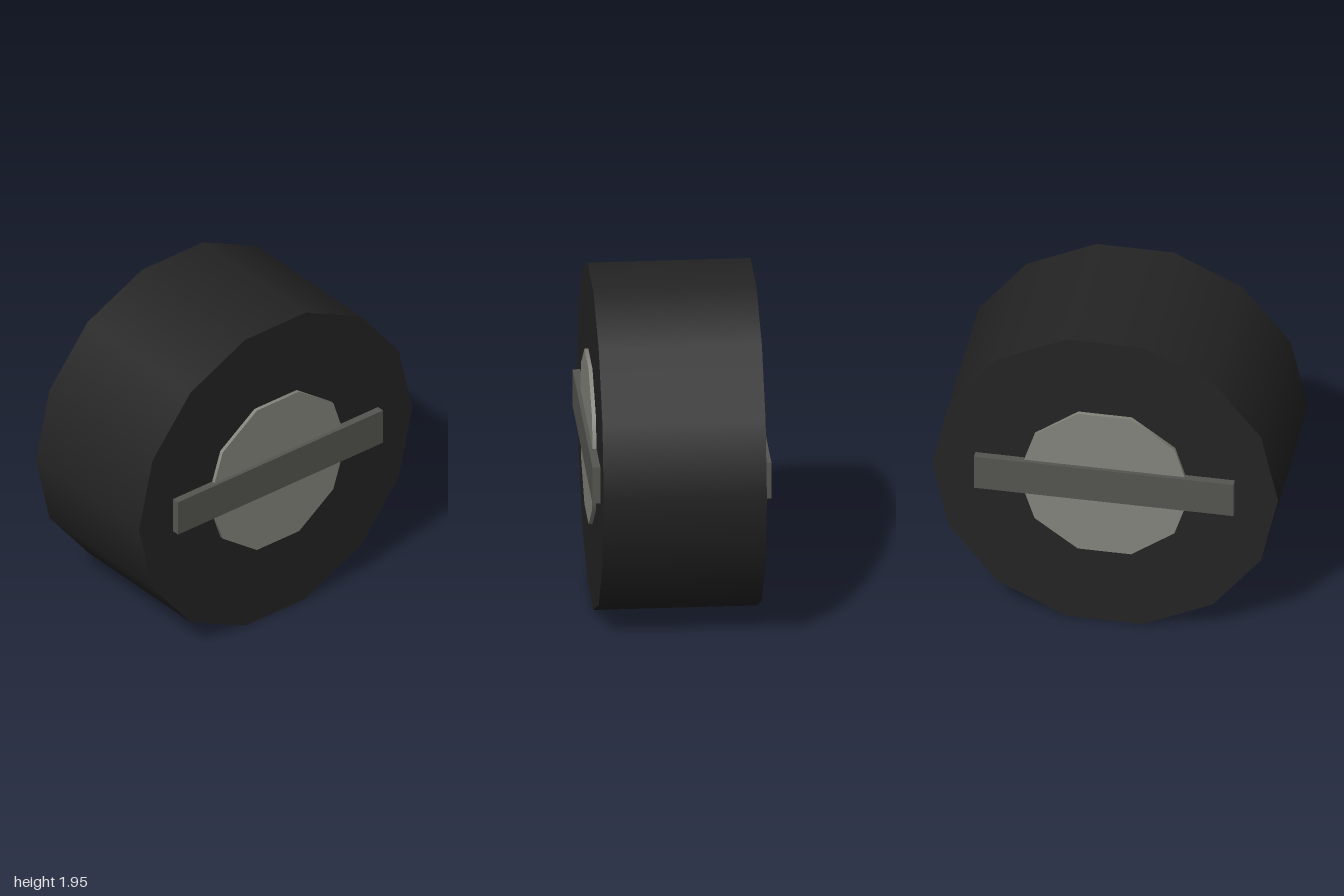
import * as THREE from 'three';

const tyreRubber = new THREE.MeshStandardMaterial({ color: 0x242424 });
tyreRubber.name = 'tyreRubber';
const hubMetal = new THREE.MeshStandardMaterial({ color: 0x85857d });
hubMetal.name = 'hubMetal';
const barMetal = new THREE.MeshStandardMaterial({ color: 0x555550 });
barMetal.name = 'barMetal';

export function createModel() {
  const wheel = new THREE.Group();
  wheel.name = 'wheel';
  const axleHeight = Math.cos(Math.PI / 14); // the tyre rests on a flat facet

  const add = (name, geometry, material) => {
    const mesh = new THREE.Mesh(geometry, material);
    mesh.name = name;
    mesh.position.y = axleHeight;
    wheel.add(mesh);
  };

  // Solid disc lying along the x axis, with a corner pointing to the front
  const disc = (radius, width, sides) =>
    new THREE.CylinderGeometry(radius, radius, width, sides).rotateZ(Math.PI / 2);

  // Wide tyre
  add('tyre', disc(1, 0.93, 14), tyreRubber);
  // Hub, standing slightly proud of both sides
  add('hub', disc(0.5, 0.975, 10), hubMetal);
  // Cross bar, showing on both faces of the hub
  add('crossBar', new THREE.BoxGeometry(1.02, 0.22, 1.5), barMetal);

  return wheel;
}
